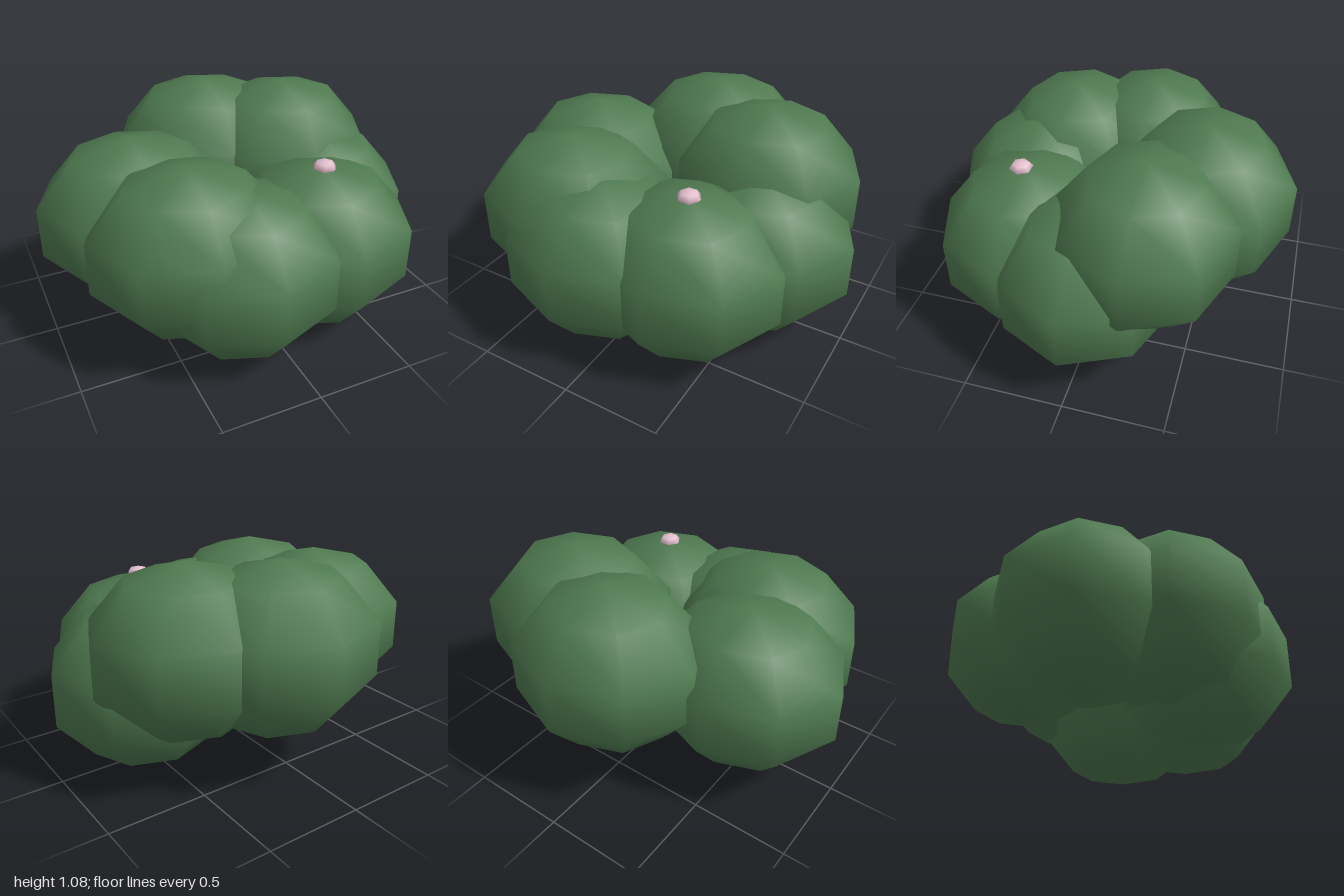
import * as THREE from 'three';

export function createModel() {
  const model = new THREE.Group();
  model.name = 'bush';

  const leafGreen = new THREE.MeshStandardMaterial({ color: 0x4f7a50 });
  leafGreen.name = 'leaf green';
  const blossomPink = new THREE.MeshStandardMaterial({ color: 0xe3bfce });
  blossomPink.name = 'blossom pink';

  function addBlob(name, geometry, material, position, scale) {
    const mesh = new THREE.Mesh(geometry, material);
    mesh.name = name;
    mesh.position.set(...position);
    mesh.scale.set(...scale);
    model.add(mesh);
  }

  // Foliage clumps: a ring of flattened low-poly spheres at three heights
  const clump = new THREE.SphereGeometry(1, 8, 5);
  const clumps = {
    backClump: [0.04, 0.65, -0.465],
    backLeftClump: [0.42, 0.65, -0.25],
    backRightClump: [-0.51, 0.54, -0.08],
    frontRightClump: [-0.38, 0.54, 0.33],
    frontClump: [-0.14, 0.43, 0.46],
    frontLeftClump: [0.31, 0.43, 0.38],
    leftClump: [0.505, 0.43, 0.01],
  };
  for (const [name, position] of Object.entries(clumps)) {
    addBlob(name, clump, leafGreen, position, [0.52, 0.43, 0.473]);
  }

  // Blossom: a small six-sided bead resting on the front left clump
  const bead = new THREE.SphereGeometry(1, 6, 4);
  addBlob('blossom', bead, blossomPink, [0.32, 0.855, 0.4], [0.06, 0.033, 0.06]);

  return model;
}
